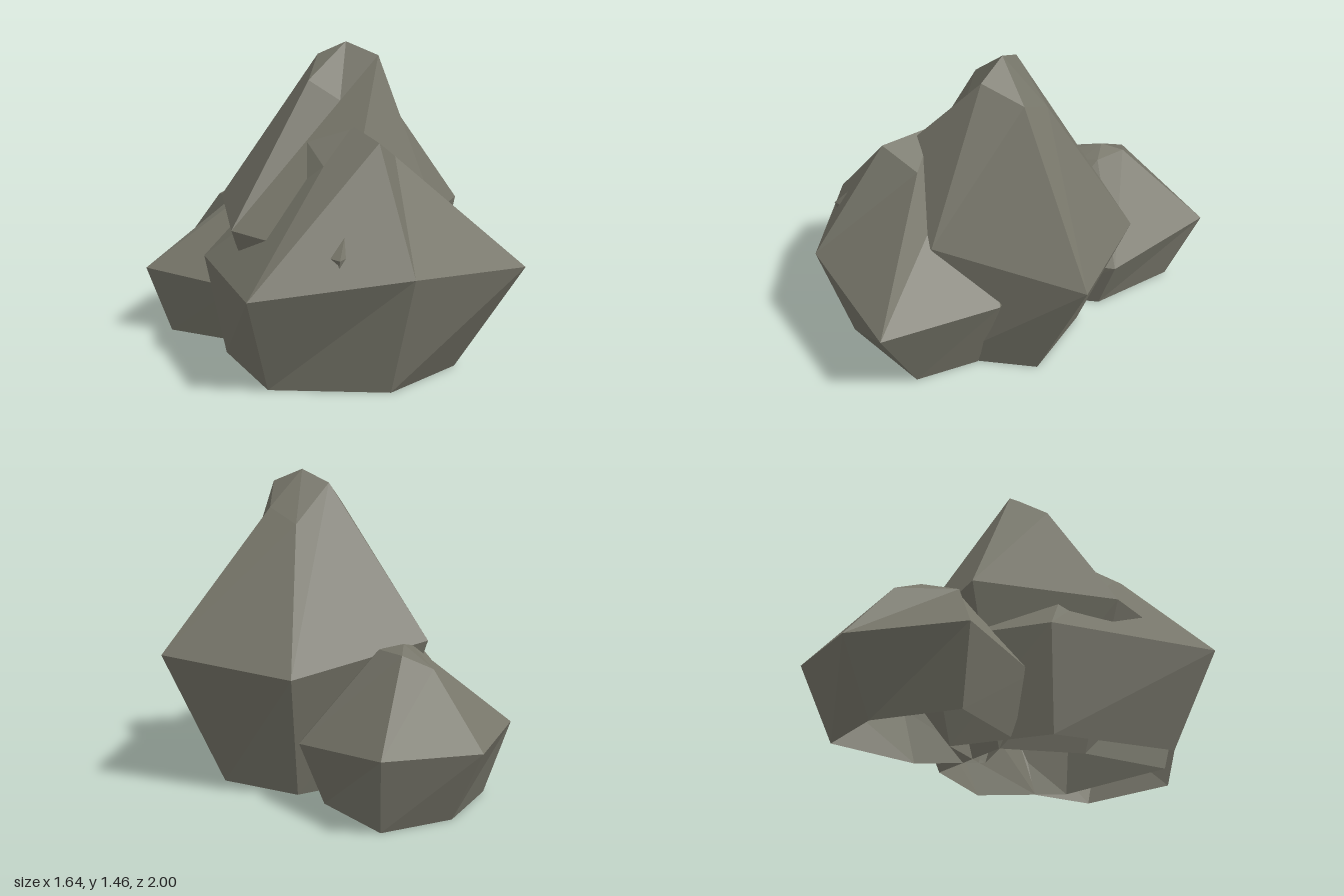
import * as THREE from 'three';

const stone = new THREE.MeshStandardMaterial({ color: 0x77766a, flatShading: true, side: THREE.DoubleSide });
stone.name = 'grey stone';

// Open-bottomed faceted rock: rings of [x, y, z] from the ground up, closed by an apex.
// Each ring runs anticlockwise seen from above.
function rock(name, rings, apex) {
  const pos = [];
  const tri = (...corners) => corners.forEach((c) => pos.push(...c));
  const n = rings[0].length;
  for (let i = 0; i < n; i++) {
    const j = (i + 1) % n;
    for (let r = 0; r + 1 < rings.length; r++) {
      const low = rings[r], up = rings[r + 1];
      tri(low[i], low[j], up[j]);
      tri(low[i], up[j], up[i]);
    }
    const top = rings[rings.length - 1];
    tri(top[i], top[j], apex);
  }
  const geo = new THREE.BufferGeometry();
  geo.setAttribute('position', new THREE.Float32BufferAttribute(pos, 3));
  geo.computeVertexNormals();
  const mesh = new THREE.Mesh(geo, stone);
  mesh.name = name;
  return mesh;
}

export function createModel() {
  const group = new THREE.Group();
  group.name = 'rockCluster';

  // tall central rock; its front left corner just breaks through the front rock
  group.add(rock('tallRock', [
    [[0.16, 0, 0.52], [0.50, 0, 0.25], [0.38, 0, -0.14], [-0.06, 0, -0.22], [-0.30, 0, 0.08], [-0.44, 0, 0.49]],
    [[0.18, 0.70, 0.60], [0.82, 0.65, 0.28], [0.55, 0.59, -0.30], [-0.12, 0.70, -0.47], [-0.55, 0.65, 0.02], [-0.525, 0.60, 0.62]],
    [[0.16, 1.40, 0.28], [0.29, 1.29, 0.15], [0.27, 1.22, -0.01], [0.07, 1.40, -0.01], [-0.10, 1.29, 0.08], [-0.03, 1.20, 0.21]],
  ], [0.12, 1.46, 0.12]));

  // wide front rock
  group.add(rock('frontRock', [
    [[-0.30, 0, 0.72], [0.18, 0, 0.72], [0.28, 0, 0.43], [0.08, 0, -0.38], [-0.36, 0, -0.21], [-0.62, 0, 0.30]],
    [[-0.34, 0.525, 0.87], [0.31, 0.485, 1.0], [0.46, 0.455, 0.45], [0.10, 0.47, -0.50], [-0.42, 0.47, -0.29], [-0.82, 0.44, 0.37]],
    [[-0.19, 1.05, 0.56], [-0.01, 0.97, 0.51], [0.04, 0.87, 0.37], [0.02, 1.0, 0.14], [-0.20, 1.02, 0.16], [-0.30, 0.94, 0.34]],
  ], [-0.10, 1.10, 0.34]));

  // low back rock
  group.add(rock('backRock', [
    [[0.37, 0, -0.31], [0.44, 0, -0.74], [0.10, 0, -0.83], [-0.28, 0, -0.68], [-0.20, 0, -0.30], [0.12, 0, -0.11]],
    [[0.49, 0.295, -0.28], [0.55, 0.355, -0.85], [0.10, 0.33, -1.0], [-0.38, 0.33, -0.75], [-0.27, 0.29, -0.24], [0.12, 0.31, 0.0]],
    [[0.18, 0.70, -0.46], [0.20, 0.70, -0.62], [0.11, 0.645, -0.72], [-0.03, 0.69, -0.46], [0.0, 0.69, -0.43], [0.11, 0.69, -0.42]],
  ], [0.12, 0.73, -0.55]));

  return group;
}
